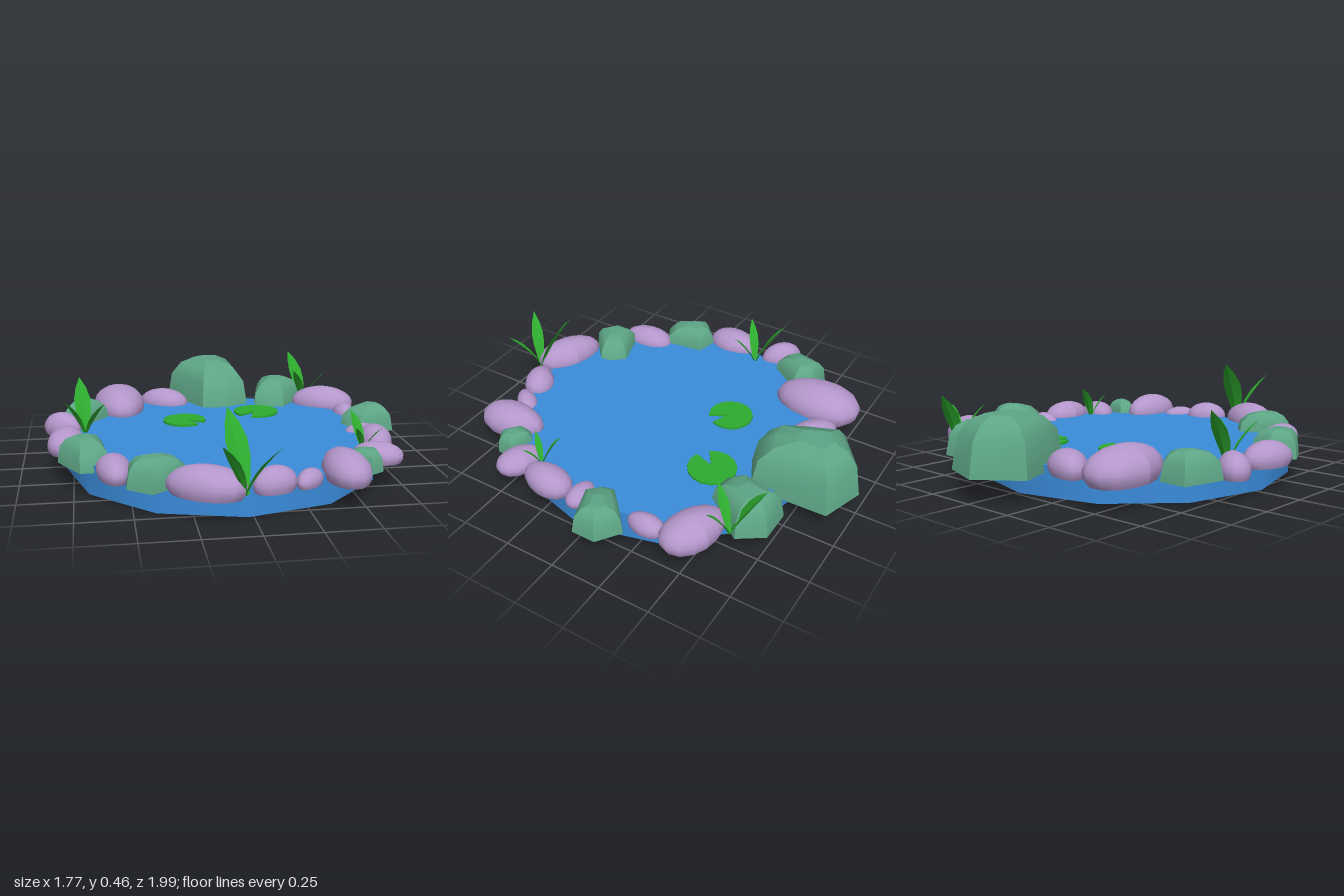
import * as THREE from 'three';
import { toCreasedNormals } from 'three/addons/utils/BufferGeometryUtils.js';

const BASE = 0.108, WATER = 0.142;

function flat(name, color) {
  const m = new THREE.MeshStandardMaterial({ color, side: THREE.DoubleSide });
  m.name = name;
  return m;
}

// Skin over stacked rings of [x, y, z] points, closed on top, open below
function loft(rings, top) {
  const p = [], n = rings[0].length;
  for (let j = 0; j < n; j++) {
    const k = (j + 1) % n;
    for (let i = 0; i + 1 < rings.length; i++) {
      const [a, b, c, d] = [rings[i][j], rings[i][k], rings[i + 1][j], rings[i + 1][k]];
      p.push(...a, ...c, ...b, ...b, ...c, ...d);
    }
    const last = rings[rings.length - 1];
    p.push(...top, ...last[k], ...last[j]);
  }
  const g = new THREE.BufferGeometry();
  g.setAttribute('position', new THREE.Float32BufferAttribute(p, 3));
  return toCreasedNormals(g, 0.6);
}

// Angular boulder with steep sides and a sloping crown
function boulderGeometry() {
  const outline = [[-0.02, -0.25], [0.19, -0.18], [0.2, 0.2], [0.06, 0.27], [-0.06, 0.26], [-0.13, 0.12], [-0.22, -0.1]];
  const rings = [[0, 1, 0], [0.62, 0.89, 0], [0.88, 0.65, -0.01], [1, 0.32, -0.03]].map(([y, s, dz]) =>
    outline.map(([x, z]) => [x * s, y, z * s + dz]));
  return loft(rings, [0.01, 1, -0.03]);
}

// Egg-shaped pebble, cut open underneath
function pebbleGeometry() {
  const g = new THREE.SphereGeometry(1, 14, 7, 0, Math.PI * 2, 0, Math.PI * 0.65);
  const p = g.attributes.position;
  for (let i = 0; i < p.count; i++) p.setX(i, p.getX(i) * (1 - 0.14 * p.getZ(i)));
  g.computeVertexNormals();
  return g;
}

// Lily pad with a notch; the angle is measured from +x towards +z
function padGeometry(r, notch) {
  const ring = (y) => {
    const pts = [[r * 0.12 * Math.cos(notch), y, r * 0.12 * Math.sin(notch)]];
    for (let i = 0; i <= 14; i++) {
      const a = notch + 0.28 + (i / 14) * (Math.PI * 2 - 0.56);
      pts.push([r * Math.cos(a), y, r * Math.sin(a)]);
    }
    return pts;
  };
  return loft([ring(-0.012), ring(0.008)], [-0.02 * r * Math.cos(notch), 0.008, -0.02 * r * Math.sin(notch)]);
}

// Arching leaf blade folded along its midrib
function leafGeometry(tip, half) {
  const end = new THREE.Vector3(...tip);
  const curve = new THREE.QuadraticBezierCurve3(new THREE.Vector3(),
    new THREE.Vector3(end.x * 0.3, end.y * 0.6, end.z * 0.3), end);
  const out = new THREE.Vector3(end.x, 0, end.z).normalize();
  const side = new THREE.Vector3(out.z, 0, -out.x);
  const widths = [0.3, 0.65, 0.95, 1, 0.65, 0];
  const pos = [], idx = [];
  widths.forEach((w, i) => {
    const c = curve.getPoint(i / 5);
    for (const s of [-1, 0, 1]) {
      const v = c.clone().addScaledVector(side, s * w * half);
      if (s === 0) v.addScaledVector(out, w * half * 0.3);
      pos.push(v.x, v.y, v.z);
    }
    if (i < 5) for (const j of [0, 1]) {
      const a = i * 3 + j;
      idx.push(a, a + 1, a + 3, a + 1, a + 4, a + 3);
    }
  });
  const g = new THREE.BufferGeometry();
  g.setAttribute('position', new THREE.Float32BufferAttribute(pos, 3));
  g.setIndex(idx);
  return toCreasedNormals(g, 0.4);
}

export function createModel() {
  const water = flat('water blue', 0x3a8cdb);
  const mauve = flat('mauve stone', 0xb497cc);
  const green = flat('green stone', 0x5da585);
  const leaf = flat('leaf green', 0x2eab2e);

  const model = new THREE.Group();
  model.name = 'gardenPond';
  const add = (name, geometry, material, x, y, z, parent = model) => {
    const m = new THREE.Mesh(geometry, material);
    m.name = name;
    m.position.set(x, y, z);
    parent.add(m);
    return m;
  };
  const rad = THREE.MathUtils.degToRad;

  // Basin wall, open underneath, and water surface
  add('basinWall', new THREE.CylinderGeometry(0.762, 0.762, WATER, 12, 1, true), water, -0.022, WATER / 2, 0.03);
  const surface = new THREE.CircleGeometry(0.762, 12).rotateX(-Math.PI / 2);
  add('waterSurface', surface, water, -0.022, WATER, 0.03);

  // Boulders: x, z, size, height, clockwise turn in degrees
  const boulder = boulderGeometry();
  [
    [0.01, -0.75, 1, 0.255, 0],
    [0.37, -0.63, 0.65, 0.16, 37],
    [0.75, -0.09, 0.54, 0.13, 72],
    [0.55, 0.56, 0.34, 0.1, 130],
    [-0.4, 0.63, 0.54, 0.13, -106],
    [-0.7, 0.3, 0.53, 0.13, -5],
    [-0.7, -0.38, 0.53, 0.13, 38],
  ].forEach(([x, z, s, h, turn]) => {
    const m = add('boulder', boulder, green, x, BASE, z);
    m.scale.set(s, h, s);
    m.rotation.y = -rad(turn);
  });

  // Pebbles: x, z, width, length, top height, clockwise turn in degrees
  const pebble = pebbleGeometry();
  [
    [-0.5, -0.565, 0.27, 0.44, 0.265, -4],
    [-0.25, -0.65, 0.17, 0.28, 0.22, 120],
    [0.62, -0.49, 0.21, 0.34, 0.24, 112],
    [0.69, -0.29, 0.11, 0.185, 0.19, 0],
    [0.68, 0.07, 0.11, 0.175, 0.18, 90],
    [0.69, 0.25, 0.165, 0.265, 0.22, 5],
    [0.64, 0.455, 0.16, 0.24, 0.2, 112],
    [0.425, 0.67, 0.2, 0.34, 0.24, 175],
    [0.25, 0.73, 0.1, 0.175, 0.18, 38],
    [0.09, 0.77, 0.15, 0.215, 0.215, 62],
    [-0.2, 0.79, 0.2, 0.36, 0.24, 115],
    [-0.57, 0.51, 0.155, 0.275, 0.21, -6],
    [-0.78, 0.07, 0.18, 0.285, 0.22, 184],
    [-0.8, -0.21, 0.14, 0.22, 0.22, -48],
  ].forEach(([x, z, w, l, top, turn]) => {
    const ry = (top - BASE) / 1.454;
    const m = add('pebble', pebble, mauve, x, top - ry, z);
    m.scale.set(w / 2, ry, l / 2);
    m.rotation.y = -rad(turn);
  });

  // Lily pads
  add('lilyPad', padGeometry(0.11, rad(42)), leaf, -0.18, WATER + 0.003, -0.235);
  add('lilyPad', padGeometry(0.118, rad(128)), leaf, 0.22, WATER + 0.003, -0.355);

  // Leafy clumps: x, z, size, clockwise turn in degrees
  const blades = [
    leafGeometry([-0.05, 0.33, -0.185], 0.05),
    leafGeometry([-0.115, 0.25, 0.12], 0.03),
    leafGeometry([0.135, 0.225, 0.09], 0.03),
  ];
  [
    [-0.05, 0.87, 1, 0],
    [0.54, -0.625, 0.8, -8],
    [-0.69, -0.105, 0.8, 7],
    [0.6, 0.355, 0.54, -5],
  ].forEach(([x, z, s, turn]) => {
    const clump = new THREE.Group();
    clump.name = 'leafClump';
    clump.position.set(x, 0.127, z);
    clump.scale.setScalar(s);
    clump.rotation.y = -rad(turn);
    blades.forEach((g) => add('leaf', g, leaf, 0, 0, 0, clump));
    model.add(clump);
  });

  return model;
}
